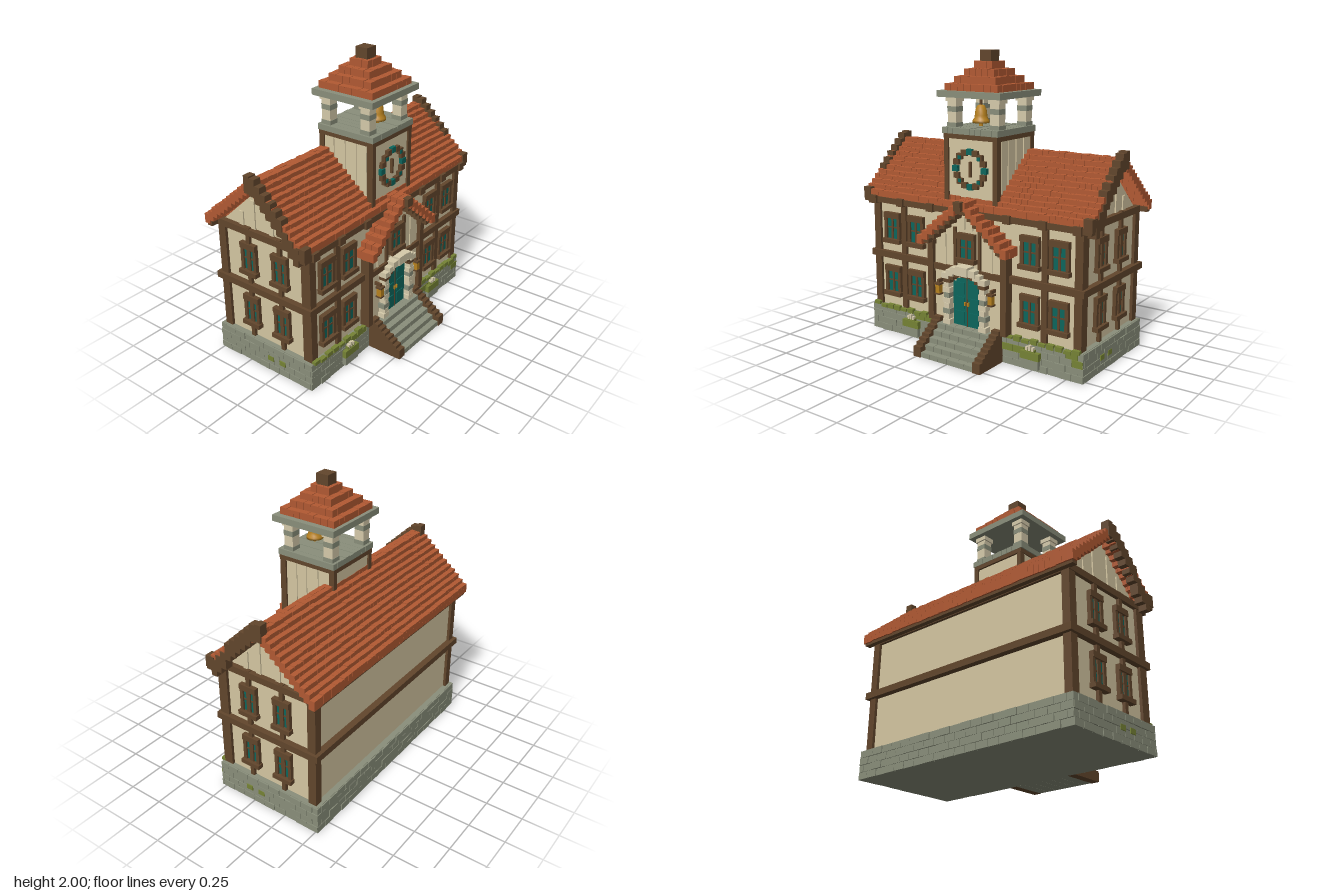
import * as THREE from 'three';
import { mergeGeometries } from 'three/addons/utils/BufferGeometryUtils.js';

const paint = (name, color) => {
  const m = new THREE.MeshStandardMaterial({ color });
  m.name = name;
  return m;
};

export function createModel() {
  const root = new THREE.Group();
  root.name = 'townHall';
  const plaster = paint('plaster', 0xd5c7a2), timber = paint('timber', 0x62462c), tile = paint('tile', 0xb25a33);
  const stone = paint('stone', 0x8a8f7b), pale = paint('paleStone', 0xd6cbab), teal = paint('teal', 0x0c665d);
  const gold = paint('gold', 0xb8821f), moss = paint('moss', 0x768335);

  let seed = 7;
  const rnd = () => ((seed = (seed * 16807) % 2147483647) / 2147483647);

  // Box from its bounds, and the same with its mirror image across x = 0
  const b = (x0, x1, y0, y1, z0, z1) =>
    new THREE.BoxGeometry(x1 - x0, y1 - y0, z1 - z0).translate((x0 + x1) / 2, (y0 + y1) / 2, (z0 + z1) / 2);
  const pair = (x0, x1, ...r) => [b(x0, x1, ...r), b(-x1, -x0, ...r)];
  const part = (name, mat, geos) => {
    const mesh = new THREE.Mesh(mergeGeometries(geos.flat(9)), mat);
    mesh.name = name;
    root.add(mesh);
    return mesh;
  };
  const each = (n, f) => Array.from({ length: n }, (_, i) => f(i));
  // Straight-sided outline extruded along z
  const prism = (pts, z0, z1) =>
    new THREE.ExtrudeGeometry(new THREE.Shape(pts.map(p => new THREE.Vector2(...p))), { depth: z1 - z0, bevelEnabled: false })
      .translate(0, 0, z0);

  // Foundation: core faced with staggered bricks, a few of them mossy
  part('foundationCore', stone, [b(-0.855, 0.855, 0, 0.185, -0.505, 0.275)]);
  const bricks = [], mossy = [];
  for (let r = 0; r < 4; r++) {
    const y0 = r * 0.0475, y1 = y0 + 0.045;
    const course = (from, to, make) => {
      const w = 0.087;
      for (let a = from - (r % 2) * w / 2; a < to - 0.005; a += w) {
        const p = Math.max(a, from), q = Math.min(a + w - 0.003, to);
        if (q - p > 0.008) make(p, q, 0.006 * rnd());
      }
    };
    course(-0.865, 0.865, (p, q, j) => {
      const mid = Math.abs((p + q) / 2);
      (mid > 0.3 && r >= 2 && rnd() < 0.2 ? mossy : bricks).push(b(p, q, y0, y1, 0.27, 0.282 + j));
      bricks.push(b(p, q, y0, y1, -0.515 - j, -0.5));
    });
    course(-0.515, 0.282, (p, q, j) => bricks.push(b(0.85, 0.865 + j, y0, y1, p, q), b(-0.865 - j, -0.85, y0, y1, p, q)));
  }
  part('foundationBricks', stone, bricks);
  part('foundationLedge', stone, [b(-0.86, 0.86, 0.18, 0.19, -0.51, 0.28)]);
  part('mossBricks', moss, mossy);
  part('sideMoss', moss, [0.035, -0.065].map(z => pair(0.865, 0.873, 0.078, 0.112, z - 0.025, z + 0.025)));
  part('mossClumps', moss, each(9, i => {
    const x = 0.3 + i * 0.062, h = 0.19 + 0.02 * rnd();
    return pair(x, x + 0.05, 0.165 + 0.02 * rnd(), h, 0.265, 0.295);
  }));

  // Planters with small flowers
  part('planters', stone, pair(0.43, 0.56, 0.02, 0.09, 0.28, 0.311));
  part('planterLeaves', moss, [pair(0.425, 0.565, 0.08, 0.13, 0.28, 0.314), pair(0.46, 0.53, 0.13, 0.147, 0.28, 0.308)]);
  part('planterFlowers', pale, each(3, i => pair(0.465 + i * 0.022, 0.48 + i * 0.022, 0.138, 0.162 + (i % 2) * 0.012, 0.288, 0.31)));

  // Main walls and gable ends
  part('walls', plaster, [b(-0.825, 0.825, 0.185, 0.97, -0.47, 0.25)]);
  part('gableEnds', plaster, [prism([[-0.27, 0.95], [0.49, 0.95], [0.11, 1.3]], -0.815, 0.815).rotateY(Math.PI / 2)]);
  part('gableStuds', plaster, [-0.3, -0.2, -0.05, 0.05].map(z => pair(0.81, 0.824, 0.97, 1.27 - Math.abs(z + 0.11), z - 0.018, z + 0.018)));

  // Timber frame
  part('cornerPosts', timber, [pair(0.79, 0.845, 0.19, 0.97, 0.2, 0.27), pair(0.79, 0.845, 0.19, 0.97, -0.49, -0.43)]);
  part('frontPosts', timber, pair(0.553, 0.595, 0.19, 0.95, 0.24, 0.27));
  part('sidePosts', timber, [0.025, -0.235].map(z => pair(0.82, 0.847, 0.19, 0.99, z - 0.015, z + 0.015)));
  const ring = (y0, y1, x, z0, z1) => [b(-x, x, y0, y1, z1 - 0.045, z1), b(-x, x, y0, y1, z0, z0 + 0.045),
    pair(x - 0.05, x, y0, y1, z0 + 0.045, z1 - 0.045)];
  part('middleBeam', timber, ring(0.547, 0.592, 0.865, -0.515, 0.285));
  part('topBeam', timber, ring(0.94, 0.985, 0.85, -0.49, 0.27));
  part('eaveBoard', timber, [b(-0.91, 0.91, 0.942, 0.983, 0.25, 0.294), b(-0.9, 0.9, 0.945, 0.98, -0.525, -0.485)]);
  part('beamEnds', timber, [0.31, 0.575, 0.82].map(x => pair(x - 0.028, x + 0.028, 0.935, 0.99, 0.26, 0.31)));

  // Paned windows, made facing +z, then placed
  const frames = [], panes = [];
  const addWindow = (x, y, z, w, h, turn = 0) => {
    const put = g => g.rotateY(turn).translate(x, y, z);
    panes.push(put(b(-w, w, 0, h, 0, 0.012)));
    const n = w + 0.022, t = h + 0.005;
    [b(-n, -w + 0.002, 0, h, 0, 0.025), b(w - 0.002, n, 0, h, 0, 0.025), b(-0.008, 0.008, 0, h, 0, 0.02),
      b(-w, w, h * 0.5 - 0.005, h * 0.5 + 0.005, 0, 0.016), b(-n - 0.008, n + 0.008, -0.028, 0.002, 0, 0.042),
      b(-n, n, t - 0.02, t + 0.02, 0, 0.032)].forEach(g => frames.push(put(g)));
  };
  for (const s of [-1, 1]) for (const y of [0.3, 0.685]) {
    for (const x of [0.465, 0.68]) addWindow(s * x, y, 0.25, 0.048, 0.165);
    for (const z of [0.025, -0.235]) addWindow(s * 0.825, y, z, 0.042, 0.17, s * Math.PI / 2);
  }
  addWindow(0, 0.66, 0.292, 0.048, 0.145);
  part('windowFrames', timber, frames);
  part('windowPanes', teal, panes);

  // Main roof: rows of separate tiles stepping from the eaves to the ridge
  const tiles = [], rows = 12, cols = 44, run = 0.4125 / rows, wide = 1.82 / cols;
  for (const s of [-1, 1]) for (let r = 0; r < rows; r++) for (let c = 0; c < cols; c++) {
    const top = 1.025 + r * 0.0295 + 0.006 * rnd(), x = -0.91 + c * wide;
    const out = 0.4125 - r * run, za = -0.123 + s * out, zb = -0.123 + s * Math.max(0, out - run - 0.008);
    tiles.push(b(x, x + wide - 0.001, top - 0.065, top, Math.min(za, zb), Math.max(za, zb)));
  }
  part('roofTiles', tile, tiles);
  part('roofLining', tile, [prism([[-0.275, 0.95], [0.52, 0.95], [0.52, 0.97], [0.123, 1.295], [-0.275, 0.97]], -0.8, 0.8)
    .rotateY(Math.PI / 2)]);
  // Stepped barge boards on the front slope, rising above the tiles towards the ridge
  part('bargeBoards', timber, [
    each(10, i => {
      const z = 0.25 - i * 0.041, top = Math.min(1.395, 1.03 + i * 0.04 + (i > 2 ? 0.035 : 0));
      return pair(0.86, 0.917, top - 0.115, top, z - 0.044, z);
    }),
    pair(0.855, 0.915, 0.96, 1.04, 0.23, 0.296)]);

  // Porch bay
  part('porchWall', plaster, [prism([[-0.29, 0.19], [0.29, 0.19], [0.29, 0.75], [0, 0.985], [-0.29, 0.75]], 0.24, 0.29)]);
  part('porchPosts', timber, [pair(0.275, 0.32, 0.19, 0.76, 0.25, 0.318), pair(0.265, 0.33, 0.72, 0.75, 0.25, 0.33)]);
  part('porchStuds', timber, pair(0.088, 0.11, 0.59, 0.86, 0.28, 0.305));
  part('porchBeam', timber, [b(-0.29, 0.29, 0.55, 0.59, 0.28, 0.31)]);
  part('porchGableStuds', plaster, [pair(0.02, 0.045, 0.85, 0.935, 0.285, 0.297), pair(0.18, 0.2, 0.59, 0.82, 0.285, 0.297)]);
  part('porchTiles', tile, each(8, i => each(3, k => {
    const x = i * 0.045, top = 1.05 - i * 0.038 + 0.004 * rnd(), z = 0.24 + k * 0.048;
    return pair(x + 0.001, x + 0.046, top - 0.06, top, z, z + 0.046);
  })));
  part('porchLining', timber, each(7, i => {
    const x = i * 0.045, y = 0.995 - i * 0.038;
    return pair(x, x + 0.045, y - 0.03, y, 0.24, 0.365);
  }));
  part('porchFinial', timber, [b(-0.028, 0.028, 0.995, 1.055, 0.37, 0.41)]);

  // Double door with panels
  part('doors', teal, [pair(0.003, 0.115, 0.19, 0.49, 0.285, 0.3), b(-0.088, 0.088, 0.49, 0.512, 0.285, 0.3),
    b(-0.055, 0.055, 0.512, 0.54, 0.285, 0.3), [0.21, 0.31, 0.41].map(y => pair(0.02, 0.095, y, y + 0.08, 0.3, 0.306))]);
  part('doorSeam', timber, [b(-0.003, 0.003, 0.19, 0.53, 0.285, 0.304)]);
  part('doorHandles', gold, pair(0.008, 0.018, 0.335, 0.36, 0.3, 0.314));
  part('doorArchTrim', timber, [pair(0.113, 0.17, 0.483, 0.512, 0.285, 0.342), pair(0.085, 0.135, 0.508, 0.535, 0.285, 0.342),
    pair(0.05, 0.09, 0.53, 0.552, 0.285, 0.342), b(-0.055, 0.055, 0.538, 0.558, 0.285, 0.342)]);
  // Stone surround of alternating blocks and a stepped arch
  const quoins = grey => each(8, i => (i % 3 === 2) === grey ? pair(i % 2 ? 0.125 : 0.117, i % 2 ? 0.165 : 0.177,
    0.19 + i * 0.037, 0.225 + i * 0.037, 0.28, 0.34) : []);
  part('doorQuoins', pale, quoins(false));
  part('doorQuoinsGrey', stone, quoins(true));
  part('doorArch', pale, [pair(0.122, 0.178, 0.512, 0.55, 0.28, 0.352), pair(0.082, 0.14, 0.535, 0.575, 0.28, 0.355),
    pair(0.045, 0.1, 0.554, 0.6, 0.28, 0.36)]);
  part('keystone', pale, [b(-0.047, 0.047, 0.554, 0.615, 0.28, 0.368)]);

  // Lanterns
  part('lanternLights', gold, pair(0.198, 0.232, 0.395, 0.455, 0.315, 0.35));
  part('lanternFrames', timber, [pair(0.192, 0.238, 0.455, 0.468, 0.309, 0.356), pair(0.194, 0.236, 0.386, 0.397, 0.311, 0.354),
    pair(0.207, 0.223, 0.468, 0.49, 0.285, 0.34)]);

  // Front steps between stepped timber cheeks
  part('steps', stone, each(5, i => each(6, k => {
    const x = -0.215 + k * 0.0717;
    return b(x, x + 0.07, i * 0.038, 0.036 + i * 0.038, 0.28, 0.53 - i * 0.043);
  })));
  part('stepCheeks', timber, each(8, i => pair(0.213, 0.272, 0, 0.07 + i * 0.0215, 0.28, 0.538 - i * 0.03)));

  // Clock tower
  part('towerWalls', plaster, [b(-0.2, 0.2, 0.97, 1.45, -0.155, 0.25)]);
  part('towerPosts', timber, [pair(0.178, 0.212, 1.0, 1.45, 0.218, 0.262), pair(0.178, 0.212, 1.0, 1.45, -0.167, -0.13)]);
  part('towerBeam', timber, [b(-0.214, 0.214, 1.437, 1.468, -0.168, 0.264)]);
  part('towerPanels', plaster, [-0.09, 0, 0.09, 0.17].map(z => pair(0.198, 0.206, 1.1, 1.437, z - 0.036, z + 0.036)));
  part('belfryFloor', stone, each(10, i => b(-0.222 + i * 0.0444, -0.18 + i * 0.0444, 1.468, 1.505 + 0.004 * rnd(), -0.17, 0.268)));

  // Clock ring and hand
  const block = i => {
    const a = i * Math.PI / 8;
    return b(-0.021, 0.021, -0.019, 0.019, 0.25, 0.275).translate(Math.sin(a) * 0.115, 1.245 + Math.cos(a) * 0.115, 0);
  };
  const numbers = [0, 4, 8, 12];
  part('clockRing', timber, each(16, i => numbers.includes(i) ? [] : block(i)));
  part('clockMarks', teal, [numbers.map(block), [2, 6, 10, 14].map(i =>
    b(-0.012, 0.012, -0.012, 0.012, 0.272, 0.279).translate(Math.sin(i * Math.PI / 8) * 0.107, 1.245 + Math.cos(i * Math.PI / 8) * 0.107, 0))]);
  part('clockHand', timber, [b(-0.008, 0.008, 1.195, 1.295, 0.25, 0.268)]);

  // Belfry pillars, canopy and bell
  const pillars = (y0, y1, g) => [0.195, -0.115].map(z => pair(0.17 - g, 0.17 + g, y0, y1, z - g, z + g));
  part('pillarStones', stone, [pillars(1.505, 1.535, 0.037), pillars(1.605, 1.64, 0.036)]);
  part('pillarBlocks', pale, [pillars(1.535, 1.605, 0.034), pillars(1.64, 1.675, 0.034)]);
  part('pillarCapitals', pale, pillars(1.672, 1.702, 0.043));
  part('canopy', stone, [b(-0.25, 0.25, 1.702, 1.744, -0.19, 0.285)]);
  const bell = [[0.001, 1.655], [0.022, 1.65], [0.036, 1.625], [0.041, 1.585], [0.045, 1.565], [0.056, 1.553], [0.056, 1.537], [0.001, 1.537]];
  part('bell', gold, [new THREE.LatheGeometry(bell.map(p => new THREE.Vector2(...p)).reverse(), 12).toNonIndexed(),
    new THREE.CylinderGeometry(0.014, 0.014, 0.025, 8).translate(0, 1.528, 0).toNonIndexed()]).position.z = 0.14;
  part('bellRod', timber, [b(-0.007, 0.007, 1.645, 1.705, 0.133, 0.147)]);

  // Stepped tile spire
  part('spireTiles', tile, [[0.21, 8], [0.165, 6], [0.12, 5], [0.072, 3]].map(([h, n], l) => each(n, i => each(n, k => {
    const w = 2 * h / n, x = -h + i * w, z = 0.045 - h + k * w, y = 1.744 + l * 0.0465;
    return b(x, x + w - 0.002, y - (l ? 0.01 : 0), y + 0.043 + 0.004 * rnd(), z, z + w - 0.002);
  }))));
  part('spireFinial', timber, [b(-0.045, 0.045, 1.925, 2, 0, 0.09)]);
  return root;
}
